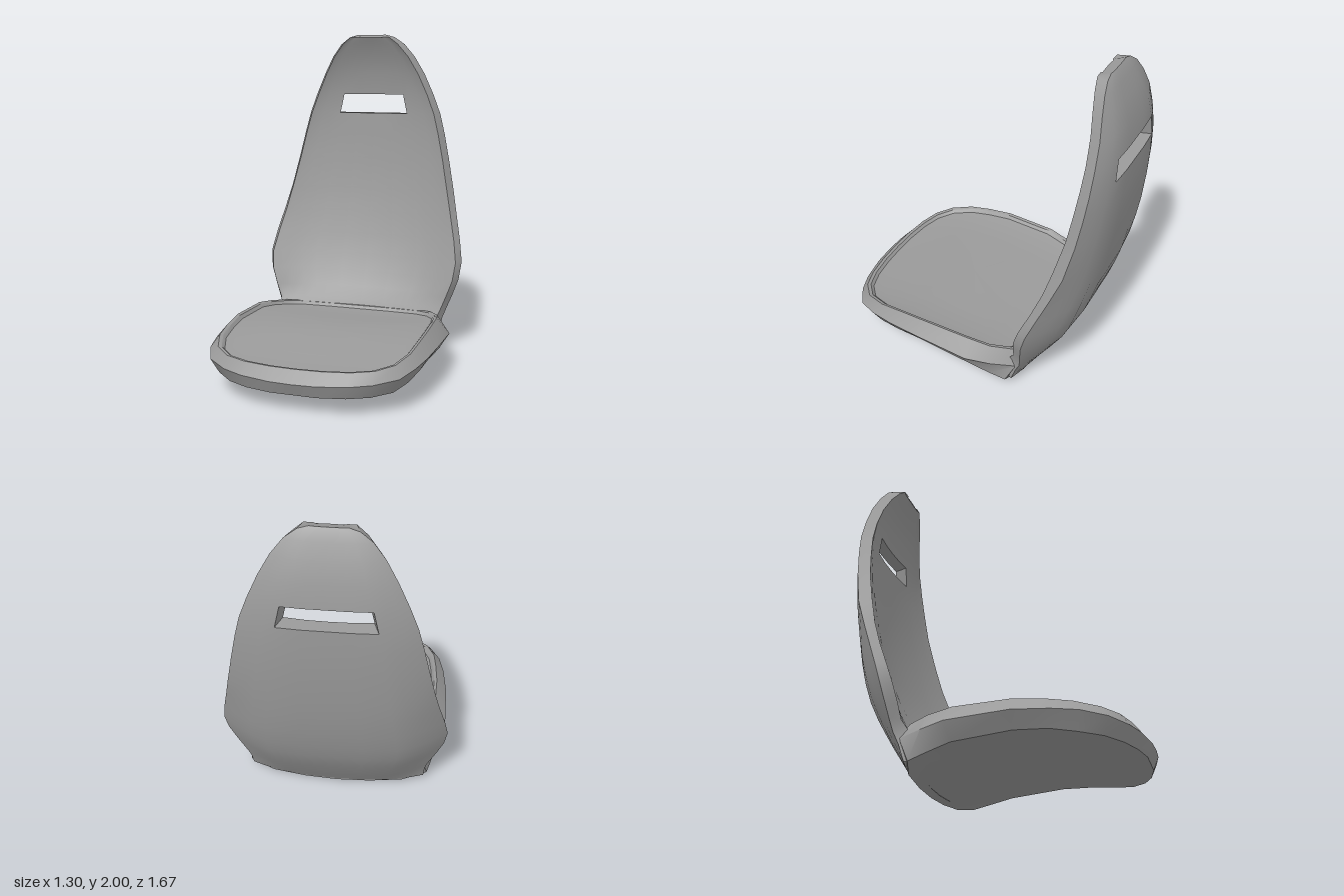
import * as THREE from 'three';
import { toCreasedNormals } from 'three/addons/utils/BufferGeometryUtils.js';

// Piecewise-linear lookup in a list of [key, value], keys ascending
function lookup(table, k) {
  if (k <= table[0][0]) return table[0][1];
  for (let i = 1; i < table.length; i++) {
    const [a, va] = table[i - 1], [b, vb] = table[i];
    if (k <= b) return va + (vb - va) * (k - a) / (b - a);
  }
  return table[table.length - 1][1];
}

// Skin a stack of closed rings; skip(r, k) leaves a quad open
function skin(rings, extra = [], skip = () => false) {
  const n = rings[0].length, index = [...extra];
  for (let r = 0; r < rings.length - 1; r++) {
    for (let k = 0; k < n; k++) {
      if (skip(r, k)) continue;
      const a = r * n + k, b = r * n + (k + 1) % n;
      index.push(a, b, b + n, a, b + n, a + n);
    }
  }
  const g = new THREE.BufferGeometry();
  g.setAttribute('position', new THREE.Float32BufferAttribute(rings.flat(2), 3));
  g.setIndex(index);
  return toCreasedNormals(g, 0.6);
}

// Half outline (front centre to back centre) mirrored into a closed loop
const mirrored = (half) =>
  [...half, ...half.slice(1, -1).reverse().map(([x, z]) => [-x, z])];

function seatGeometry() {
  const under = mirrored([[0, .8], [.13, .8], [.28, .77], [.4, .72], [.5, .64], [.55, .52], [.58, .38],
    [.59, .2], [.59, -.12], [.57, -.26], [.55, -.36], [.4, -.41], [.2, -.425], [0, -.43]]);
  const widest = mirrored([[0, .835], [.13, .83], [.3, .8], [.42, .755], [.54, .67], [.6, .54], [.63, .4],
    [.65, .2], [.65, -.14], [.6, -.28], [.53, -.42], [.42, -.43], [.2, -.43], [0, -.43]]);
  const lip = mirrored([[0, .775], [.15, .77], [.3, .75], [.42, .71], [.51, .63], [.56, .5], [.575, .36],
    [.585, .2], [.575, -.12], [.55, -.26], [.49, -.38], [.4, -.44], [.2, -.455], [0, -.455]]);

  const underY = [[-.43, .04], [-.35, .06], [-.1, .125], [.1, .155], [.4, .15], [.6, .125], [.84, .095]];
  const widestY = [[-.43, .18], [-.2, .205], [0, .24], [.2, .24], [.5, .23], [.84, .17]];
  const lipY = [[-.455, .255], [-.13, .31], [0, .32], [.2, .32], [.36, .307], [.5, .287], [.78, .233]];

  const scaled = (loop, s) => loop.map(([x, z]) => [x * s, .16 + (z - .16) * s]);
  const lift = (loop, y) => loop.map(([x, z]) => [x, y(x, z), z]);
  const belly = (x, z) => lookup(underY, z)
    - .04 * (1 - (x / .59) ** 2) * THREE.MathUtils.clamp((.8 - z) / .3, 0, 1);

  const rings = [0, .35, .7, 1].map((s) => lift(scaled(under, s), belly));
  rings.push(lift(widest, (x, z) => lookup(widestY, z)));
  // narrow lip, then the sunken sitting surface
  for (const [s, dip] of [[1, 0], [.97, .006], [.945, .026], [.85, .038], [.6, .048], [.3, .05], [0, .05]]) {
    rings.push(lift(scaled(lip, s), (x, z) => lookup(lipY, z) - dip));
  }
  return skin(rings);
}

function backrestGeometry() {
  // height, half width, then z of: rear centre, rear edge, front edge, front centre
  const rows = [
    [.01, .53, -.43, -.39, -.33, -.38],
    [.12, .535, -.5, -.42, -.34, -.4],
    [.2, .545, -.55, -.45, -.37, -.43],
    [.28, .57, -.595, -.465, -.41, -.455],
    [.36, .6, -.64, -.48, -.42, -.51],
    [.46, .635, -.685, -.5, -.44, -.56],
    [.57, .648, -.72, -.53, -.475, -.605],
    [.7, .625, -.755, -.58, -.53, -.645],
    [.85, .59, -.783, -.64, -.585, -.68],
    [1, .557, -.805, -.695, -.625, -.71],
    [1.2, .515, -.825, -.735, -.67, -.735],
    [1.36, .48, -.835, -.755, -.69, -.748],
    [1.49, .447, -.836, -.765, -.702, -.755],
    [1.615, .4, -.83, -.765, -.705, -.754],
    [1.75, .34, -.81, -.757, -.695, -.74],
    [1.86, .278, -.77, -.735, -.672, -.705],
    [1.94, .214, -.735, -.715, -.65, -.67],
    [1.985, .15, -.71, -.7, -.636, -.645],
    [2, .095, -.698, -.694, -.632, -.637],
  ];
  const us = [-1, -.86, -.72, -.575, -.28, 0, .28, .575, .72, .86, 1];
  // the front is dished; the rear is flat in the middle and wraps round at the sides
  const dish = (u) => Math.abs(u) ** 2.2;
  const wrap = (u) => Math.max(0, (Math.abs(u) - .45) / .55) ** 1.6;
  const rings = rows.map(([y, w, rearMid, rearEdge, frontEdge, frontMid], i) => {
    const rise = (u) => y + .05 * u * u * Math.max(0, 1 - y / .3);
    const drop = i === rows.length - 1 ? .018 : 0;
    const wi = Math.max(w - .05, w * .7), wo = Math.max(w - .03, w * .85);
    const front = us.map((u) =>
      [u * wi, rise(u) - drop, frontMid + (frontEdge - .008 - frontMid) * dish(u)]);
    const rear = us.map((u) =>
      [u * w, rise(u), rearMid + (rearEdge - rearMid) * wrap(u)]).reverse();
    return [...front, [wo, rise(1) - drop, frontEdge], ...rear, [-wo, rise(1) - drop, frontEdge]];
  });

  // close the bottom and top ends
  const n = rings[0].length, extra = [], top = (rings.length - 1) * n;
  const partner = (k) => 22 - k;
  for (let k = 0; k < 10; k++) {
    const f = k, g = k + 1, b = partner(k), c = partner(k + 1);
    extra.push(f, c, g, f, b, c, top + f, top + g, top + c, top + f, top + c, top + b);
  }
  extra.push(11, 10, 12, 23, 22, 0, top + 10, top + 11, top + 12, top + 22, top + 23, top);

  // walls of the slot, running round its border
  const slotRow = 12, first = 3, last = 7, border = [];
  for (let k = first; k <= last; k++) border.push([slotRow, k]);
  for (let k = last; k >= first; k--) border.push([slotRow + 1, k]);
  border.forEach(([r, k], i) => {
    const [s, m] = border[(i + 1) % border.length];
    const p = r * n + k, q = s * n + m, p2 = r * n + partner(k), q2 = s * n + partner(m);
    extra.push(p, q, q2, p, q2, p2);
  });
  const inSlot = (r, k) => r === slotRow
    && ((k >= first && k < last) || (k >= partner(last) && k < partner(first)));
  return skin(rings, extra, inSlot);
}

export function createModel() {
  const group = new THREE.Group();
  group.name = 'bucketSeat';
  const material = new THREE.MeshStandardMaterial({ color: 0x9a9a9a });
  const add = (name, geometry) => {
    const mesh = new THREE.Mesh(geometry, material);
    mesh.name = name;
    group.add(mesh);
  };
  add('seat', seatGeometry());
  add('backrest', backrestGeometry());
  return group;
}
